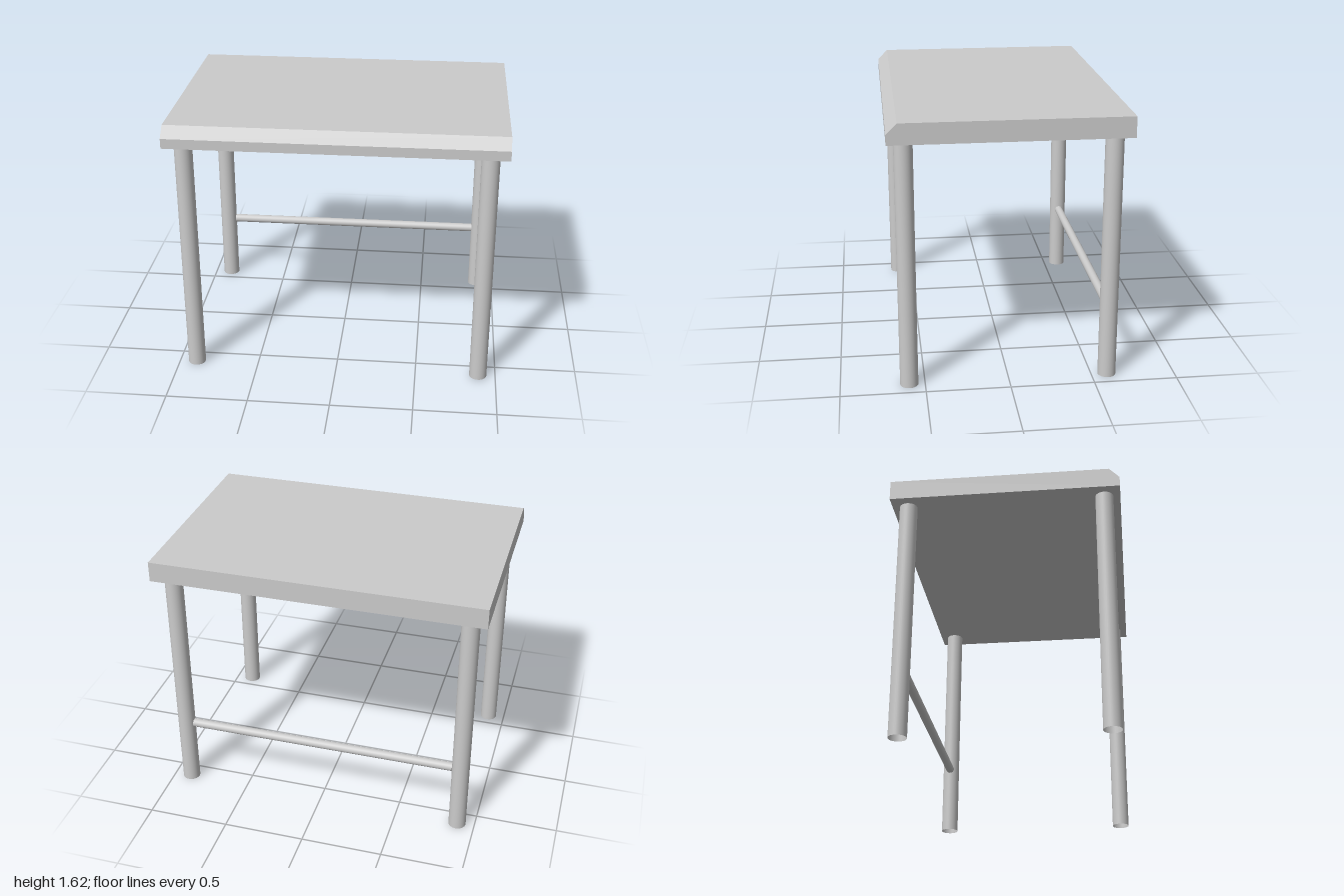
import * as THREE from 'three';

const TOP_Y = 1.5;
const LEG_X = 0.892, LEG_Z = 0.594, LEG_R = 0.054;

export function createModel() {
  const group = new THREE.Group();
  const material = new THREE.MeshStandardMaterial({ color: 0xcccccc });
  const tubeMaterial = new THREE.MeshStandardMaterial({ color: 0xcccccc, side: THREE.DoubleSide });

  const add = (name, geometry, mat) => {
    const mesh = new THREE.Mesh(geometry, mat);
    mesh.name = name;
    group.add(mesh);
    return mesh;
  };

  // Table top: side profile with a bevelled front edge, extruded across the width
  const profile = new THREE.Shape([
    [-0.69, 1.5], [0.69, 1.5], [0.69, 1.56], [0.628, 1.623], [-0.69, 1.623],
  ].map(([z, y]) => new THREE.Vector2(-z, y)).reverse());
  const top = new THREE.ExtrudeGeometry(profile, { depth: 2, bevelEnabled: false });
  top.translate(0, 0, -1).rotateY(Math.PI / 2); // profile x becomes -z
  add('tableTop', top, material);

  // Four open tubular legs
  const legGeometry = new THREE.CylinderGeometry(LEG_R, LEG_R, TOP_Y, 32, 1, true);
  for (const [side, sx] of [['Left', 1], ['Right', -1]]) {
    for (const [end, sz] of [['front', 1], ['back', -1]]) {
      add(`${end}${side}Leg`, legGeometry, tubeMaterial)
        .position.set(sx * LEG_X, TOP_Y / 2, sz * LEG_Z);
    }
  }

  // Stretcher bar between the back legs
  const bar = new THREE.CylinderGeometry(0.027, 0.027, 1.68, 24);
  bar.rotateZ(Math.PI / 2);
  add('backStretcher', bar, material).position.set(0, 0.437, -LEG_Z);

  return group;
}
